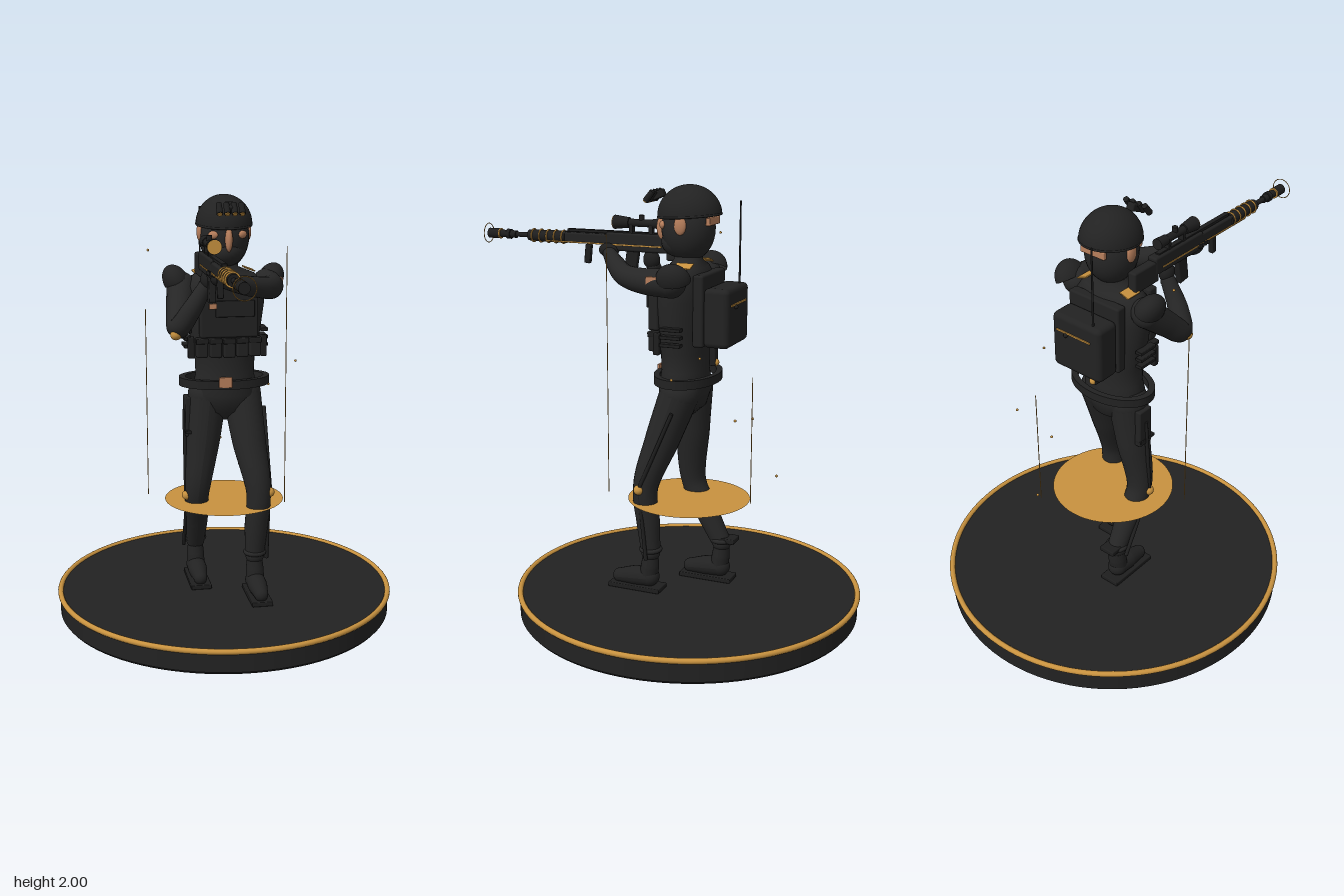
import * as THREE from 'three';
import { RoundedBoxGeometry } from 'three/addons/geometries/RoundedBoxGeometry.js';

const mat = (name, color, side = THREE.FrontSide) => {
  const m = new THREE.MeshStandardMaterial({ color, side });
  m.name = name;
  return m;
};

export function createModel() {
  const root = new THREE.Group();
  const cloth = mat('black cloth', 0x262626), armour = mat('dark armour', 0x222222, THREE.DoubleSide);
  const metal = mat('gunmetal', 0x1e1e1e), skin = mat('skin', 0xb87f5c);
  const gold = mat('gold', 0xc8923f, THREE.DoubleSide);
  const V = (a) => new THREE.Vector3(...a);

  let parent = root;
  const group = (name) => {
    parent = new THREE.Group();
    parent.name = name;
    root.add(parent);
    return parent;
  };
  const add = (name, geo, m, pos = [0, 0, 0], rot = [0, 0, 0], scale = [1, 1, 1]) => {
    const mesh = new THREE.Mesh(geo, m);
    mesh.name = name;
    mesh.position.set(...pos);
    mesh.rotation.set(...rot);
    mesh.scale.set(...scale);
    parent.add(mesh);
    return mesh;
  };
  const box = (name, m, size, pos, rot) =>
    add(name, new RoundedBoxGeometry(...size, 2, Math.min(...size) * 0.2), m, pos, rot);
  const ball = (name, m, size, pos, rot) => add(name, new THREE.SphereGeometry(1, 28, 20), m, pos, rot, size);
  // straight rod between two points
  const rod = (name, m, a, b, r1, r2 = r1, sides = 16) => {
    const d = V(b).sub(V(a));
    const mesh = add(name, new THREE.CylinderGeometry(r2, r1, d.length(), sides), m, V(a).add(V(b)).multiplyScalar(0.5).toArray());
    mesh.quaternion.setFromUnitVectors(new THREE.Vector3(0, 1, 0), d.normalize());
    return mesh;
  };
  // curved limb whose radius follows the control points
  const limb = (name, m, pts, radii) => {
    const curve = new THREE.CatmullRomCurve3(pts.map(V)), n = 32, sides = 20;
    const geo = new THREE.TubeGeometry(curve, n, 1, sides), p = geo.attributes.position, q = new THREE.Vector3();
    for (let i = 0; i <= n; i++) {
      const u = i / n, c = curve.getPointAt(u);
      const t = curve.getUtoTmapping(u) * (radii.length - 1), k = Math.min(Math.floor(t), radii.length - 2);
      const r = THREE.MathUtils.lerp(radii[k], radii[k + 1], t - k);
      for (let j = 0; j <= sides; j++) {
        const id = i * (sides + 1) + j;
        q.fromBufferAttribute(p, id).sub(c).multiplyScalar(r).add(c);
        p.setXYZ(id, q.x, q.y, q.z);
      }
    }
    geo.computeVertexNormals();
    add(name, geo, m);
    [0, radii.length - 1].forEach((e) => ball(name + 'End', m, Array(3).fill(radii[e]), pts[e]));
  };
  // upright body from elliptical sections [y, centre z, half width, half depth]
  const loft = (name, m, rows) => {
    const sides = 36, pos = [], idx = [];
    rows.forEach(([y, cz, rx, rz], i) => {
      for (let j = 0; j < sides; j++) {
        const a = (j / sides) * Math.PI * 2;
        pos.push(rx * Math.sin(a), y, cz + rz * Math.cos(a));
        if (i) {
          const k = (j + 1) % sides, lo = (i - 1) * sides, hi = i * sides;
          idx.push(lo + j, lo + k, hi + k, lo + j, hi + k, hi + j);
        }
      }
    });
    const geo = new THREE.BufferGeometry();
    geo.setAttribute('position', new THREE.Float32BufferAttribute(pos, 3));
    geo.setIndex(idx);
    geo.computeVertexNormals();
    add(name, geo, m);
  };

  // round base with gilded rim
  group('base');
  const prof = [[0, 0], [0.79, 0], [0.8, 0.012], [0.8, 0.1], [0.795, 0.11], [0, 0.11]];
  prof.slice(1).forEach((b, i) => add('baseSurface', new THREE.LatheGeometry([prof[i], b].map((p) => new THREE.Vector2(...p)), 96), armour, [0, 0, -0.15]));
  add('rim', new THREE.TorusGeometry(0.798, 0.013, 12, 96), gold, [0, 0.108, -0.15], [Math.PI / 2, 0, 0]);

  // floating disc, light beams and sparks
  group('effects');
  add('floatingDisc', new THREE.CircleGeometry(0.285, 64), gold, [0, 0.55, -0.15], [-Math.PI / 2, 0, 0]);
  [[0.23, 0.155, 1.79], [-0.375, -0.08, 1.49], [0.136, -0.5, 1.19]].forEach(([x, z, top]) =>
    rod('beam', gold, [x, 0.61, z], [x, top, z], 0.002, 0.002, 6));
  [[0.36, 1.2, -0.21], [0.285, 1.03, -0.475], [0.06, 0.73, -0.595], [0.07, 0.985, -0.48], [-0.35, 1.75, -0.16], [0.21, 1.27, -0.28]]
    .forEach((p) => ball('spark', gold, [0.006, 0.006, 0.006], p));

  // torso, vest and belt
  group('torso');
  loft('body', cloth, [[0.95, -0.13, 0.02, 0.03], [1.0, -0.13, 0.12, 0.09], [1.08, -0.13, 0.162, 0.115], [1.17, -0.13, 0.138, 0.105],
    [1.26, -0.13, 0.142, 0.107], [1.36, -0.13, 0.165, 0.12], [1.5, -0.13, 0.185, 0.122], [1.59, -0.135, 0.19, 0.11],
    [1.64, -0.14, 0.14, 0.085], [1.67, -0.14, 0.065, 0.065], [1.73, -0.14, 0.06, 0.06]]);
  box('chestPlate', armour, [0.27, 0.26, 0.05], [0, 1.49, -0.025]);
  box('chestPocket', armour, [0.18, 0.075, 0.02], [0.025, 1.495, 0.005]);
  box('backPlate', armour, [0.28, 0.32, 0.05], [0, 1.46, -0.24]);
  for (let i = -2; i <= 2; i++) {
    box('pouch', armour, [0.055, 0.085, 0.045], [i * 0.062, 1.31, -0.012 - Math.abs(i) * 0.009]);
    box('pouchFlap', metal, [0.058, 0.025, 0.05], [i * 0.062, 1.345, -0.011 - Math.abs(i) * 0.009]);
  }
  const ellipse = (rx, rz, C) => new C().absellipse(0, 0, rx, rz, 0, Math.PI * 2);
  const hoop = ellipse(0.215, 0.145, THREE.Shape);
  hoop.holes.push(ellipse(0.185, 0.118, THREE.Path));
  add('belt', new THREE.ExtrudeGeometry(hoop, { depth: 0.04, bevelEnabled: false, curveSegments: 40 }), armour, [0, 1.157, -0.143], [Math.PI / 2, 0, 0]);
  box('buckle', skin, [0.06, 0.05, 0.012], [-0.018, 1.152, 0.001]);
  ball('backKnob', gold, [0.017, 0.017, 0.017], [0, 1.21, -0.275]);
  box('backStrap', metal, [0.04, 0.11, 0.03], [0, 1.25, -0.265]);
  for (const s of [-1, 1]) {
    for (const y of [1.31, 1.345, 1.38]) box('sideBuckle', metal, [0.035, 0.016, 0.1], [s * 0.18, y, -0.13]);
    box('sidePouch', metal, [0.03, 0.1, 0.03], [s * 0.17, 1.31, -0.06]);
    const pad = add('shoulderPad', new THREE.SphereGeometry(1, 28, 12, 0, Math.PI * 2, 0, Math.PI / 2), armour,
      [s * 0.222, 1.605, -0.16], [0, 0, -s * 0.5], [0.058, 0.08, 0.08]);
    pad.name = s > 0 ? 'leftShoulderPad' : 'rightShoulderPad';
    box('collarTrim', gold, [0.05, 0.006, 0.08], [s * 0.12, 1.655, -0.165], [0, 0, -s * 0.35]);
  }

  // backpack with antenna
  group('backpack');
  box('pack', armour, [0.27, 0.265, 0.12], [0, 1.432, -0.322]);
  box('packTrim', gold, [0.19, 0.009, 0.006], [0.01, 1.49, -0.384]);
  rod('antenna', metal, [-0.08, 1.55, -0.355], [-0.08, 1.93, -0.355], 0.005, 0.004, 8);
  ball('packKnob', metal, [0.01, 0.01, 0.01], [0.05, 1.48, -0.387]);

  // masked head, helmet and raised goggles
  group('head');
  ball('maskedHead', cloth, [0.115, 0.15, 0.122], [0, 1.81, -0.14]);
  ball('jaw', cloth, [0.085, 0.07, 0.09], [0, 1.745, -0.105]);
  ball('nose', skin, [0.017, 0.055, 0.028], [0, 1.805, -0.014]);
  box('napePatch', skin, [0.13, 0.035, 0.02], [0, 1.845, -0.255]);
  for (const s of [-1, 1]) {
    ball('ear', skin, [0.014, 0.042, 0.028], [s * 0.113, 1.83, -0.145]);
    ball('cheek', skin, [0.024, 0.018, 0.012], [s * 0.068, 1.825, -0.042], [0, s * 0.6, 0]);
  }
  add('helmet', new THREE.SphereGeometry(1, 40, 18, 0, Math.PI * 2, 0, Math.PI / 2), armour, [0, 1.865, -0.145], [0.07, 0, 0], [0.13, 0.135, 0.146]);
  add('helmetEdge', new THREE.TorusGeometry(1, 0.045, 8, 48), armour, [0, 1.865, -0.145], [Math.PI / 2 + 0.07, 0, 0], [0.126, 0.142, 0.13]);
  box('goggleMount', metal, [0.04, 0.035, 0.06], [0, 1.95, 0.005], [0.4, 0, 0]);
  for (const x of [-0.051, -0.017, 0.017, 0.051]) {
    rod('goggleTube', metal, [x, 1.968, 0.012], [x, 1.925, 0.045], 0.013, 0.015);
    rod('goggleLens', gold, [x, 1.925, 0.045], [x, 1.921, 0.048], 0.011);
  }

  // arms and gloved hands
  group('arms');
  limb('rightArm', cloth, [[-0.2, 1.58, -0.15], [-0.225, 1.49, -0.05], [-0.24, 1.42, 0.04], [-0.19, 1.5, 0.075], [-0.125, 1.61, 0.085]], [0.068, 0.058, 0.05, 0.045, 0.033]);
  ball('rightElbowPad', gold, [0.026, 0.026, 0.026], [-0.255, 1.395, 0.062]);
  limb('leftArm', cloth, [[0.2, 1.59, -0.14], [0.195, 1.59, -0.02], [0.15, 1.6, 0.095], [0.04, 1.625, 0.195], [-0.075, 1.66, 0.285]], [0.066, 0.058, 0.05, 0.044, 0.032]);
  ball('rightHand', metal, [0.033, 0.045, 0.04], [-0.115, 1.64, 0.09]);
  ball('leftHand', metal, [0.038, 0.034, 0.05], [-0.1, 1.675, 0.3]);
  for (let i = 0; i < 4; i++) rod('finger', metal, [-0.085, 1.68, 0.28 + i * 0.018], [-0.15, 1.7, 0.285 + i * 0.018], 0.009);
  box('sleevePatch', skin, [0.008, 0.035, 0.05], [0.255, 1.605, -0.07]);
  box('wristPatch', skin, [0.035, 0.025, 0.008], [-0.08, 1.51, 0.022]);

  // legs, boots and outer braces
  const legs = [
    { name: 'leftLeg', s: 1, knee: [0.137, 0.62, 0.012], ankle: [0.124, 0.24, -0.008], joint: [0.187, 0.62, 0.025] },
    { name: 'rightLeg', s: -1, knee: [-0.137, 0.59, -0.12], ankle: [-0.124, 0.24, -0.27], joint: [-0.187, 0.585, -0.11] },
  ];
  for (const { name, s, knee, ankle, joint } of legs) {
    group(name);
    const z = ankle[2], mid = (knee[2] - 0.13) / 2;
    limb('trouser', cloth, [[s * 0.082, 1.07, -0.135], [s * 0.105, 0.85, mid], knee, [s * 0.128, 0.44, knee[2] * 0.5 + z * 0.5], [s * 0.124, 0.3, z]],
      [0.092, 0.08, 0.058, 0.055, 0.045]);
    add('cuff', new THREE.TorusGeometry(0.043, 0.012, 10, 28), cloth, [s * 0.124, 0.315, z], [Math.PI / 2, 0, 0]);
    limb('bootShaft', armour, [[s * 0.124, 0.29, z], [s * 0.124, 0.23, z + 0.004], [s * 0.124, 0.175, z + 0.012]], [0.036, 0.043, 0.044]);
    limb('bootFoot', armour, [[s * 0.124, 0.175, z + 0.005], [s * 0.124, 0.17, z + 0.08], [s * 0.124, 0.158, z + 0.16]], [0.046, 0.046, 0.033]);
    box('sole', metal, [0.1, 0.022, 0.26], [s * 0.124, 0.123, z + 0.07]);
    rod('thighBrace', metal, [s * 0.192, 1.0, -0.14], [s * 0.192, joint[1], joint[2]], 0.009);
    rod('shinBrace', metal, [s * 0.185, joint[1], joint[2]], [s * 0.182, 0.28, z], 0.009);
    ball('kneeJoint', gold, [0.024, 0.024, 0.024], joint);
  }
  box('heelSpur', metal, [0.08, 0.025, 0.1], [-0.124, 0.32, -0.295]);
  box('holster', armour, [0.035, 0.19, 0.08], [-0.175, 0.97, -0.14]);
  box('holsterStrap', metal, [0.06, 0.016, 0.1], [-0.165, 0.9, -0.13]);

  // rifle along z
  group('rifle');
  const X = -0.115, Y = 1.722;
  const bar = (name, m, z0, z1, r1, r2 = r1, y = Y) => rod(name, m, [X, y, z0], [X, y, z1], r1, r2, 20);
  bar('barrel', metal, 0.25, 0.86, 0.012);
  bar('muzzleBrake', metal, 0.89, 0.95, 0.024);
  bar('muzzleNeck', metal, 0.8, 0.89, 0.018);
  bar('muzzleCollar', metal, 0.83, 0.85, 0.024);
  bar('muzzleTrim', gold, 0.885, 0.89, 0.025);
  bar('shroud', metal, 0.53, 0.73, 0.03, 0.026);
  for (let i = 0; i < 5; i++)
    add('shroudRing', new THREE.TorusGeometry(0.03, 0.004, 8, 28), gold, [X, Y, 0.545 + i * 0.04]);
  add('muzzleHalo', new THREE.TorusGeometry(0.046, 0.002, 6, 48), gold, [X, Y, 0.955]);
  box('handguard', armour, [0.045, 0.05, 0.3], [X, Y, 0.4]);
  box('receiver', armour, [0.05, 0.085, 0.33], [X, 1.715, 0.15]);
  box('rail', metal, [0.025, 0.014, 0.5], [X, 1.757, 0.27]);
  box('stock', armour, [0.045, 0.1, 0.16], [X, 1.69, -0.07]);
  for (const s of [-1, 1]) box('sideTrim', gold, [0.005, 0.006, 0.6], [X + s * 0.025, 1.702, 0.33]);
  box('magazine', metal, [0.03, 0.13, 0.06], [X, 1.62, 0.19], [-0.15, 0, 0]);
  box('pistolGrip', metal, [0.03, 0.1, 0.04], [X, 1.635, 0.09], [0.25, 0, 0]);
  box('foregrip', metal, [0.026, 0.09, 0.03], [X, 1.65, 0.415], [-0.1, 0, 0]);
  bar('scopeTube', metal, 0.04, 0.26, 0.018, 0.018, 1.805);
  bar('scopeBell', metal, 0.2, 0.275, 0.024, 0.033, 1.805);
  bar('scopeEyepiece', metal, 0.02, 0.08, 0.026, 0.022, 1.805);
  bar('scopeLens', gold, 0.275, 0.279, 0.031, 0.031, 1.805);
  rod('scopeTurret', metal, [X, 1.805, 0.14], [X, 1.842, 0.14], 0.013);
  for (const z of [0.09, 0.19]) box('scopeMount', metal, [0.03, 0.05, 0.02], [X, 1.775, z]);
  return root;
}
